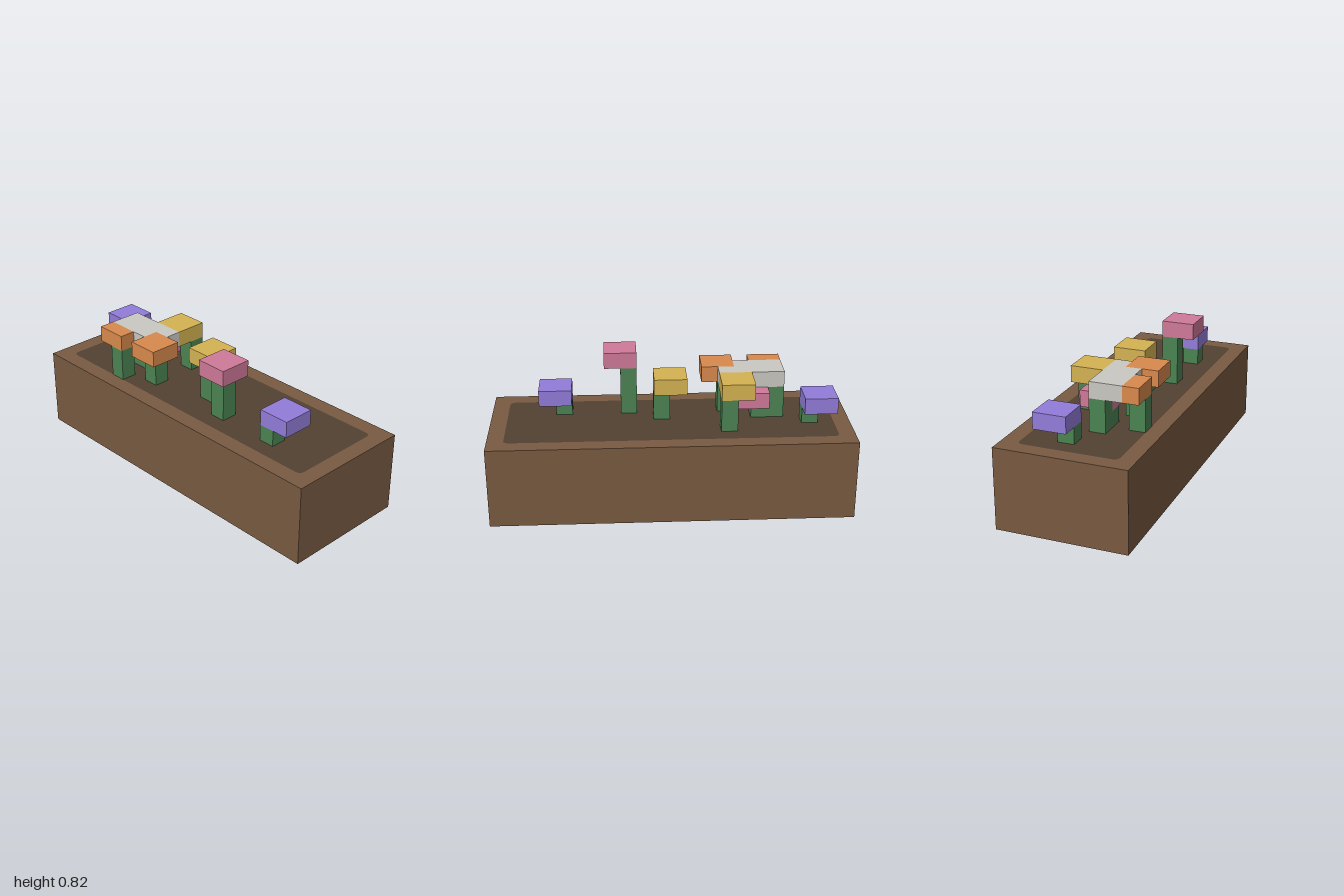
import * as THREE from 'three';

const U = 1 / 11; // one block

const material = (name, color, side = THREE.FrontSide) =>
  Object.assign(new THREE.MeshStandardMaterial({ color, side }), { name });

// Rectangle outline with rounded corners, centred on the origin
function roundedRect(target, w, h, r) {
  const x = w / 2, y = h / 2;
  target.absarc(x - r, y - r, r, 0, Math.PI / 2);
  target.absarc(-x + r, y - r, r, Math.PI / 2, Math.PI);
  target.absarc(-x + r, -y + r, r, Math.PI, Math.PI * 1.5);
  target.absarc(x - r, -y + r, r, Math.PI * 1.5, Math.PI * 2);
  target.closePath();
  return target;
}

export function createModel() {
  const model = new THREE.Group();
  model.name = 'flowerPlanter';

  const wood = material('wood', 0x785a41, THREE.DoubleSide);
  const earth = material('soil', 0x534132, THREE.DoubleSide);
  const green = material('stemGreen', 0x4b8352);
  const purple = material('purplePetals', 0x927cd9);
  const pink = material('pinkPetals', 0xcf7998);
  const yellow = material('yellowPetals', 0xd4b353);
  const orange = material('orangePetals', 0xd8894d);
  const white = material('whitePetals', 0xcac8c2);

  function add(parent, name, geometry, mat) {
    const mesh = new THREE.Mesh(geometry, mat);
    mesh.name = name;
    parent.add(mesh);
    return mesh;
  }

  // Box between two corners given in blocks
  function block(parent, name, mat, [x0, y0, z0], [x1, y1, z1]) {
    const g = new THREE.BoxGeometry((x1 - x0) * U, (y1 - y0) * U, (z1 - z0) * U);
    g.translate((x0 + x1) / 2 * U, (y0 + y1) / 2 * U, (z0 + z1) / 2 * U);
    return add(parent, name, g, mat);
  }

  // Thin trough walls, open underneath
  const trough = new THREE.Group();
  trough.name = 'trough';
  model.add(trough);
  const walls = [['frontWall', 22, 4], ['leftWall', 8, 11], ['backWall', 22, 4], ['rightWall', 8, 11]];
  walls.forEach(([name, width, distance], i) => {
    const g = new THREE.PlaneGeometry(width * U, 5 * U);
    g.translate(0, 2.5 * U, distance * U);
    g.rotateY(i * Math.PI / 2);
    add(trough, name, g, wood);
  });

  // Flat rim around the rounded soil bed
  const rim = new THREE.Shape([[-11, -4], [11, -4], [11, 4], [-11, 4]]
    .map(([x, y]) => new THREE.Vector2(x * U, y * U)));
  rim.holes.push(roundedRect(new THREE.Path(), 20 * U, 6 * U, 0.03));
  const bed = roundedRect(new THREE.Shape(), 20 * U, 6 * U, 0.03);
  for (const [name, shape, mat] of [['rim', rim, wood], ['soil', bed, earth]]) {
    const g = new THREE.ShapeGeometry(shape, 6);
    g.rotateX(-Math.PI / 2);
    g.translate(0, 5 * U, 0);
    add(trough, name, g, mat);
  }

  // Flowers: petals [x, z, width, depth], height of the petals, stem [x, z]
  const flowers = [
    ['rightPurpleFlower', purple, 6, [[-10, -2, 2, 2]], [-9, -1]],
    ['leftPurpleFlower', purple, 6, [[6, 0, 2, 2]], [6, 1]],
    ['tallPinkFlower', pink, 8, [[2, 1, 2, 2]], [2, 1]],
    ['lowPinkFlower', pink, 6, [[-6, -1, 2, 2]], [-6, 0]],
    ['middleYellowFlower', yellow, 7, [[-1, -1, 2, 2]], [0, 0]],
    ['backYellowFlower', yellow, 7, [[-5, -2, 2, 2]], [-4, -2]],
    ['innerOrangeFlower', orange, 7, [[-4, 1, 2, 2]], [-4, 1]],
    ['outerOrangeFlower', orange, 7, [[-7, 2, 2, 1]], [-6, 2]],
    ['whiteFlowers', white, 7, [[-7, 0, 3, 2], [-4, 0, 1, 1]], [-7, 0]],
  ];
  for (const [name, mat, y, petals, [sx, sz]] of flowers) {
    const flower = new THREE.Group();
    flower.name = name;
    model.add(flower);
    block(flower, 'stem', green, [sx, 4.98, sz], [sx + 1, y, sz + 1]);
    for (const [x, z, w, d] of petals) {
      block(flower, 'petals', mat, [x, y, z], [x + w, y + 1, z + d]);
    }
  }

  return model;
}
